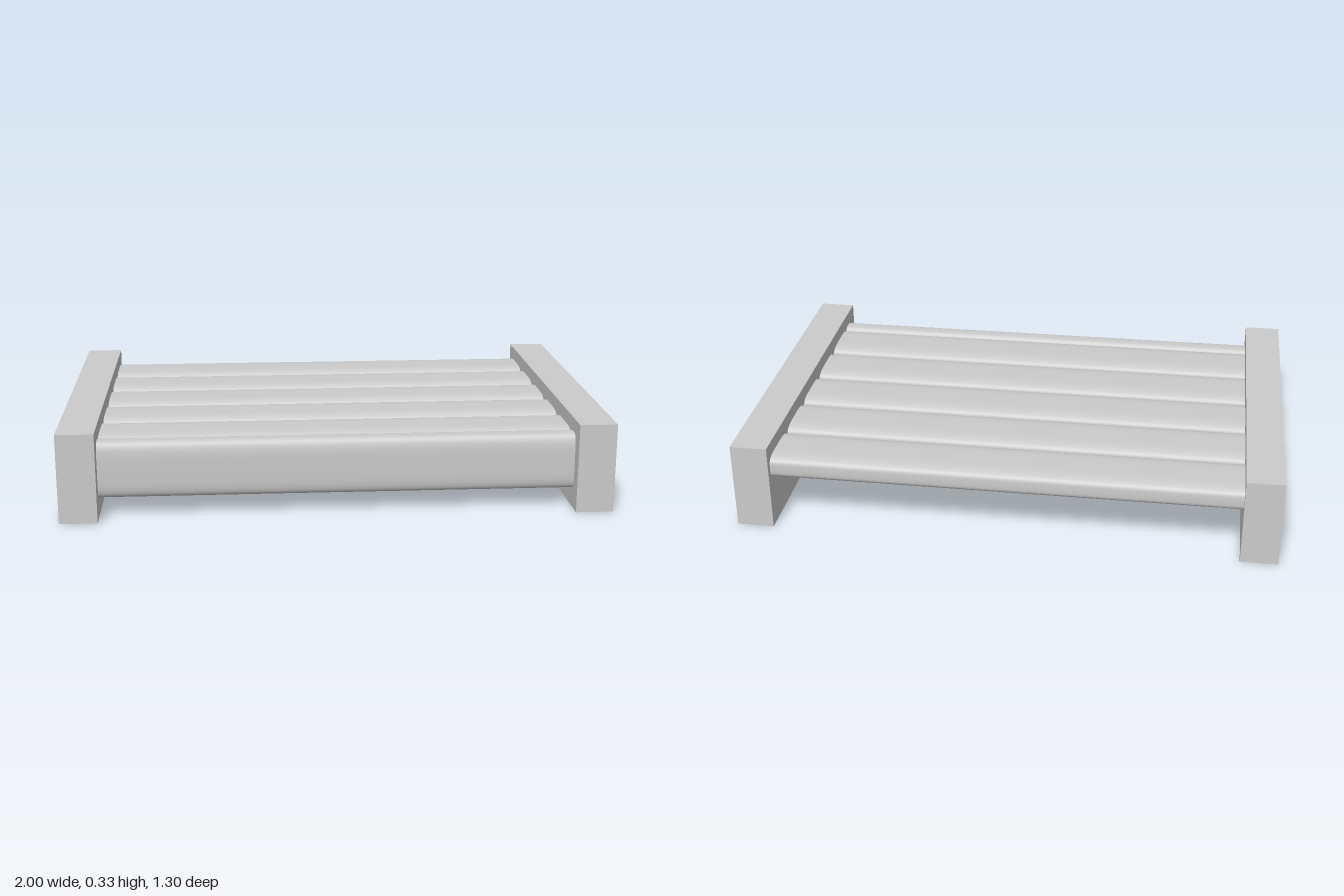
import * as THREE from 'three';
import { mergeVertices } from 'three/addons/utils/BufferGeometryUtils.js';

const material = new THREE.MeshStandardMaterial({ color: 0xcccccc });

// Softly rounded board along x: a tube squared off into a superellipse section
function slatGeometry(length, height, depth) {
  const geo = new THREE.CylinderGeometry(1, 1, length, 48, 1, true).rotateZ(Math.PI / 2);
  const p = geo.attributes.position;
  const square = (v) => Math.sign(v) * Math.sqrt(Math.abs(v));
  for (let i = 0; i < p.count; i++) {
    p.setY(i, square(p.getY(i)) * height / 2);
    p.setZ(i, square(p.getZ(i)) * depth / 2);
  }
  // weld the seam so the shading stays smooth all round
  geo.deleteAttribute('uv');
  geo.deleteAttribute('normal');
  const welded = mergeVertices(geo, 1e-4);
  welded.computeVertexNormals();
  return welded;
}

export function createModel() {
  const group = new THREE.Group();
  const add = (name, geometry, x, y, z) => {
    const mesh = new THREE.Mesh(geometry, material);
    mesh.name = name;
    mesh.position.set(x, y, z);
    group.add(mesh);
  };

  // End panels
  const panel = new THREE.BoxGeometry(0.137, 0.33, 1.3);
  add('leftEndPanel', panel, 0.9315, 0.165, 0);
  add('rightEndPanel', panel, -0.9315, 0.165, 0);

  // Five lying seat slats, evenly spaced from back to front
  const slat = slatGeometry(1.74, 0.09, 0.217);
  for (let i = 0; i < 5; i++) add('seatSlat' + (i + 1), slat, 0, 0.235, -0.519 + i * 0.2315);

  // Upright slat closing the front edge
  add('frontSlat', slatGeometry(1.74, 0.21, 0.088), 0, 0.175, 0.552);

  return group;
}
